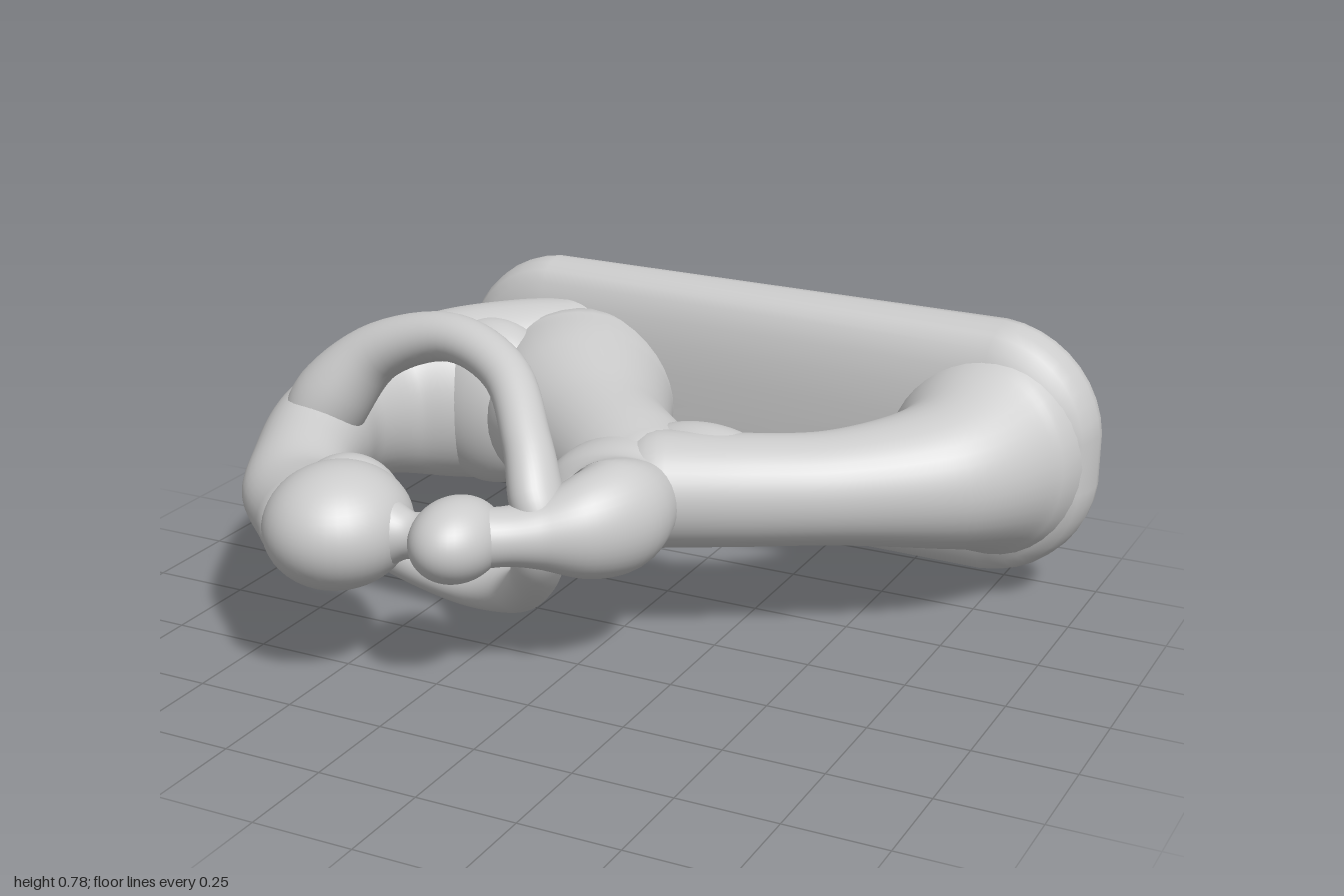
import * as THREE from 'three';

const MID = 0.385; // height of the sculpture's mirror plane
const BACK = -0.72; // limbs stop just inside the back of the base
const SIDES = 40;
const material = new THREE.MeshStandardMaterial({ color: 0xcccccc, roughness: 0.7 });

// Smooth closed skin over a list of rings, each end collapsed to its centre
function skin(name, rings) {
  const centre = (ring) => {
    const c = ring.reduce((s, p) => s.add(p), new THREE.Vector3()).divideScalar(ring.length);
    return ring.map(() => c.clone());
  };
  const all = [centre(rings[0]), ...rings, centre(rings[rings.length - 1])];
  const pos = [], index = [];
  all.forEach((ring) => ring.forEach((p) => pos.push(p.x, p.y, p.z)));
  for (let i = 0; i < all.length - 1; i++) {
    for (let j = 0; j < SIDES; j++) {
      const k = (j + 1) % SIDES;
      const a = i * SIDES + j, b = i * SIDES + k, c = a + SIDES, d = b + SIDES;
      index.push(a, b, c, b, d, c);
    }
  }
  const geo = new THREE.BufferGeometry();
  geo.setAttribute('position', new THREE.Float32BufferAttribute(pos, 3));
  geo.setIndex(index);
  geo.computeVertexNormals();
  const mesh = new THREE.Mesh(geo, material);
  mesh.name = name;
  return mesh;
}

// Round-ended limb with an oval section; points are [x, y, z, half width, half height along ref]
function limb(name, pts, ref = new THREE.Vector3(0, 1, 0)) {
  const steps = 48, domeSteps = 7;
  const path = new THREE.CatmullRomCurve3(pts.map((p) => new THREE.Vector3(p[0], p[1], p[2])), false, 'catmullrom');
  const size = new THREE.CatmullRomCurve3(pts.map((p) => new THREE.Vector3(p[3], p[4], 0)), false, 'catmullrom');
  // angle runs from -90 degrees (tip of the start dome) to +90 degrees (tip of the end dome)
  const ring = (t, angle) => {
    const s = size.getPoint(t), T = path.getTangent(t);
    const c = path.getPoint(t).addScaledVector(T, Math.sin(angle) * Math.min(s.x, s.y) * 0.8);
    const N = new THREE.Vector3().crossVectors(ref, T).normalize();
    const B = new THREE.Vector3().crossVectors(T, N);
    s.multiplyScalar(Math.cos(angle));
    return Array.from({ length: SIDES }, (_, j) => {
      const a = (j / SIDES) * Math.PI * 2;
      const p = c.clone().addScaledVector(N, Math.cos(a) * s.x).addScaledVector(B, Math.sin(a) * s.y);
      p.z = Math.max(p.z, BACK);
      return p;
    });
  };
  const rings = [];
  for (let i = 1; i < domeSteps; i++) rings.push(ring(0, (i / domeSteps - 1) * Math.PI / 2));
  for (let i = 0; i <= steps; i++) rings.push(ring(i / steps, 0));
  for (let i = 1; i < domeSteps; i++) rings.push(ring(1, (i / domeSteps) * Math.PI / 2));
  return skin(name, rings);
}

// Limb lying in the mirror plane: points are [x, z, half width, half height]
const flatLimb = (name, pts) => limb(name, pts.map(([x, z, a, b]) => [x, MID, z, a, b]));

function ball(name, x, z, rx, ry, rz) {
  const mesh = new THREE.Mesh(new THREE.SphereGeometry(1, 40, 28), material);
  mesh.position.set(x, MID, z);
  mesh.scale.set(rx, ry, rz);
  mesh.name = name;
  return mesh;
}

// Rounded slab: flat at the back, softly rounded and slightly thicker towards +x at the front
function basePlate() {
  const levels = [
    [-0.735, 0.05], [-0.735, 0.035], [-0.73, 0.015], [-0.715, 0.002], [-0.69, 0], [-0.65, 0.006],
    [-0.615, 0.02], [-0.59, 0.05], [-0.572, 0.1], [-0.56, 0.16], [-0.552, 0.24],
  ];
  const hx = 0.915, hy = 0.335, r = 0.29;
  const rings = levels.map(([z, inset], i) => Array.from({ length: SIDES }, (_, j) => {
    const a = ((j + 0.5) / SIDES) * Math.PI * 2;
    const c = Math.cos(a), s = Math.sin(a);
    const x = 0.085 + Math.sign(c) * (hx - r) + c * (r - inset);
    const slope = 0.008 + 0.03 * i / (levels.length - 1);
    return new THREE.Vector3(x, MID + Math.sign(s) * (hy - r) + s * (r - inset), z + slope * x);
  }));
  return skin('basePlate', rings);
}

export function createModel() {
  const group = new THREE.Group();
  group.name = 'embracingFigures';

  group.add(basePlate());

  // Larger figure: back rising from the base and curling towards the head
  group.add(flatLimb('largeFigureTorso', [
    [-0.46, -0.6, 0.18, 0.25], [-0.58, -0.52, 0.195, 0.25], [-0.73, -0.4, 0.19, 0.235],
    [-0.84, -0.26, 0.15, 0.2], [-0.87, -0.08, 0.13, 0.168], [-0.845, 0.08, 0.135, 0.155],
    [-0.775, 0.26, 0.128, 0.12], [-0.685, 0.42, 0.13, 0.095], [-0.54, 0.54, 0.145, 0.12],
  ]));
  group.add(ball('largeFigureHip', -0.6, -0.4, 0.21, 0.23, 0.16));
  group.add(ball('largeFigureHead', -0.475, 0.55, 0.175, 0.15, 0.19));
  group.add(ball('largeFigureHair', -0.515, 0.44, 0.135, 0.13, 0.12));

  // Lap: broad bridge from the base to the smaller figure
  group.add(flatLimb('lap', [
    [-0.41, -0.53, 0.265, 0.245], [-0.33, -0.395, 0.25, 0.23], [-0.17, -0.21, 0.19, 0.185],
    [-0.02, -0.08, 0.175, 0.16], [0.06, -0.02, 0.155, 0.145],
  ]));
  group.add(ball('smallFigureHip', 0.17, -0.09, 0.23, 0.15, 0.13));

  // Smaller figure: legs from the base, torso, neck and head
  group.add(flatLimb('smallFigureLegs', [
    [0.735, -0.68, 0.258, 0.32], [0.72, -0.57, 0.245, 0.26], [0.665, -0.39, 0.19, 0.185],
    [0.48, -0.205, 0.142, 0.143], [0.28, -0.085, 0.138, 0.14], [0.09, 0.0, 0.15, 0.145],
  ]));
  group.add(flatLimb('smallFigureTorso', [
    [0.05, -0.06, 0.15, 0.14], [0.025, 0.05, 0.19, 0.13], [0.04, 0.13, 0.175, 0.12],
    [0.08, 0.21, 0.13, 0.14], [0.045, 0.31, 0.11, 0.125], [-0.03, 0.39, 0.085, 0.085],
    [-0.09, 0.44, 0.075, 0.07], [-0.16, 0.49, 0.075, 0.075],
  ]));
  group.add(ball('smallFigureHead', -0.18, 0.505, 0.105, 0.1, 0.135));

  // Faces meeting
  group.add(flatLimb('kiss', [
    [-0.4, 0.54, 0.12, 0.11], [-0.335, 0.535, 0.075, 0.08], [-0.285, 0.53, 0.055, 0.055],
    [-0.24, 0.52, 0.07, 0.065], [-0.17, 0.51, 0.08, 0.08],
  ]));

  // Pair of arms looping over and under between the two figures
  const zAxis = new THREE.Vector3(0, 0, 1);
  for (const side of [1, -1]) {
    const shift = side > 0 ? 0 : -0.015;
    const arm = [
      [-0.84, 0.02, 0.08, 0.09, 0.13], [-0.79, 0.13, 0.085, 0.1, 0.11], [-0.66, 0.262, 0.058, 0.074, 0.077],
      [-0.45, 0.328, 0.062, 0.06, 0.067], [-0.25, 0.288, 0.142, 0.057, 0.062],
      [-0.115, 0.18, 0.282, 0.057, 0.062], [-0.05, 0.075, 0.355, 0.062, 0.075], [-0.02, 0.0, 0.37, 0.06, 0.07],
    ].map(([x, y, z, a, b]) => [x, MID + side * y, z + shift, a, b]);
    group.add(limb(side > 0 ? 'upperArm' : 'lowerArm', arm, zAxis));
  }

  return group;
}
